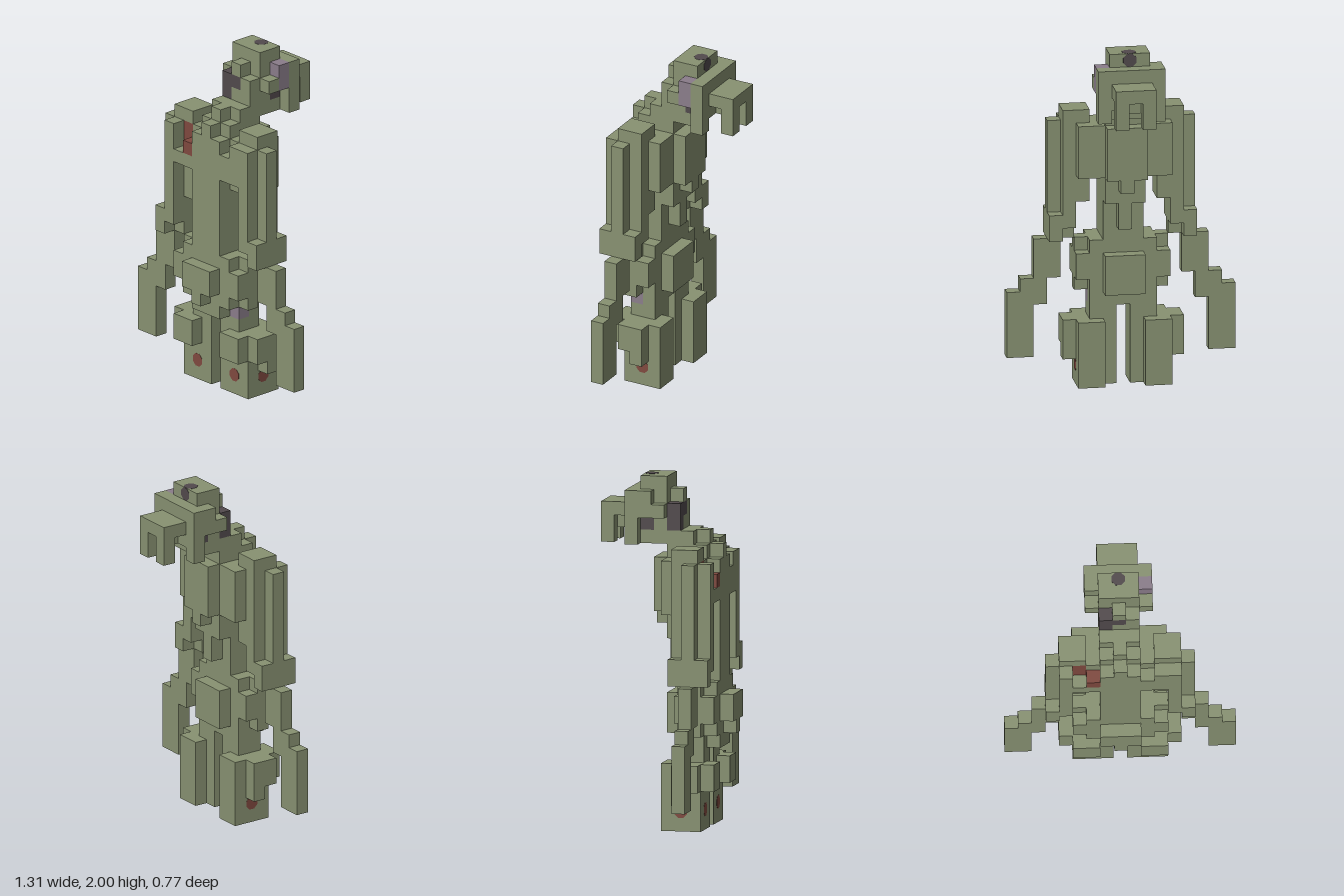
import * as THREE from 'three';

const U = 2 / 26; // edge of one block

export function createModel() {
  const model = new THREE.Group();
  model.name = 'blockyCreature';

  const paint = (name, color) => {
    const m = new THREE.MeshStandardMaterial({ color });
    m.name = name;
    return m;
  };
  const skin = paint('mossySkin', 0x889272);
  const mauve = paint('mauvePatch', 0x8b7d8b);
  const dark = paint('darkHollow', 0x524a4d);
  const red = paint('wound', 0x80493f);

  const group = (name) => {
    const g = new THREE.Group();
    g.name = name;
    model.add(g);
    return g;
  };

  // Box over inclusive block ranges; x blocks are centred on 0, y and z blocks start at 0
  const block = (parent, name, mat, x0, x1, y0, y1, z0, z1) => {
    const w = x1 - x0 + 1, h = y1 - y0 + 1, d = z1 - z0 + 1;
    const mesh = new THREE.Mesh(new THREE.BoxGeometry(w * U, h * U, d * U), mat);
    mesh.position.set((x0 + x1) / 2 * U, (y0 + h / 2) * U, (z0 + d / 2) * U);
    mesh.name = name;
    parent.add(mesh);
  };
  // Same box on one side: s = 1 is the model's left, -1 its right
  const sided = (parent, name, s, x0, x1, ...rest) =>
    block(parent, name, skin, s > 0 ? x0 : -x1, s > 0 ? x1 : -x0, ...rest);

  // Thin eight-sided spot lying on a face, at block coordinates
  const spot = (parent, name, mat, axis, x, y, z) => {
    const geo = new THREE.CylinderGeometry(U * 0.53, U * 0.53, 0.003, 8);
    geo.rotateY(Math.PI / 8);
    if (axis === 'z') geo.rotateX(Math.PI / 2);
    if (axis === 'x') geo.rotateZ(Math.PI / 2);
    const mesh = new THREE.Mesh(geo, mat);
    mesh.position.set(x * U, y * U, z * U);
    mesh.name = name;
    parent.add(mesh);
  };

  // Torso, hunched back and neck
  const torso = group('torso');
  block(torso, 'chest', skin, -1, 1, 10, 19, 1, 3);
  block(torso, 'upperChest', skin, -1, 1, 20, 20, 0, 2);
  block(torso, 'collar', skin, 0, 0, 20, 20, 3, 3);
  block(torso, 'back', skin, -1, 1, 14, 19, 0, 0);
  block(torso, 'lowerSpine', skin, 0, 0, 12, 13, 0, 0);
  block(torso, 'hunch', skin, -1, 1, 16, 19, -1, -1);
  block(torso, 'hunchTip', skin, 0, 0, 15, 15, -1, -1);
  block(torso, 'neck', skin, -1, 1, 21, 21, 0, 1);
  block(torso, 'nape', skin, 0, 0, 21, 21, 2, 2);

  // Hips with a box at front and back
  const hips = group('hips');
  block(hips, 'hipCore', skin, -2, 2, 7, 10, 1, 3);
  block(hips, 'bellyBox', skin, -1, 1, 8, 9, 4, 4);
  block(hips, 'bellyTip', skin, 0, 0, 7, 7, 4, 4);
  block(hips, 'rumpBox', skin, -1, 1, 7, 9, 0, 0);
  block(hips, 'pelvis', skin, -1, 1, 6, 6, 1, 3);
  block(hips, 'pelvisRight', skin, -2, -2, 6, 6, 1, 2);
  block(hips, 'pelvisLeft', skin, 2, 2, 6, 6, 1, 1);
  block(hips, 'pelvisPatch', mauve, 2, 2, 6, 6, 2, 2);

  for (const s of [1, -1]) {
    const side = s > 0 ? 'left' : 'right';

    sided(hips, 'hipSide', s, 3, 3, 8, 9, 1, 3);
    sided(hips, 'hipTop', s, 3, 3, 10, 10, 2, 2);
    sided(hips, 'hipBottom', s, 3, 3, 7, 7, 2, 2);

    // Shoulder and long arm, stepping outwards to the hand
    const arm = group(side + 'Arm');
    sided(arm, 'shoulderTop', s, 3, 4, 20, 20, 1, 2);
    sided(arm, 'shoulderBlade', s, 2, 3, 16, 19, 0, 1);
    sided(arm, 'bladeTip', s, 3, 3, 14, 15, 1, 1);
    sided(arm, 'armpit', s, 2, 2, 16, 19, 2, 2);
    sided(arm, 'upperArmInner', s, 3, 3, 14, 17, 2, 2);
    sided(arm, 'upperArm', s, 4, 4, 12, 19, 1, 3);
    sided(arm, 'upperArmOuter', s, 5, 5, 13, 19, 2, 2);
    sided(arm, 'elbow', s, 5, 5, 11, 12, 1, 3);
    sided(arm, 'elbowInner', s, 4, 4, 11, 11, 2, 2);
    sided(arm, 'forearm', s, 5, 6, 8, 10, 2, 2);
    sided(arm, 'wrist', s, 6, 7, 6, 7, 2, 2);
    sided(arm, 'hand', s, 7, 8, 2, 6, 2, 2);
    sided(arm, 'chestSide', s, 2, 2, 17, s > 0 ? 18 : 17, 3, 3);
    sided(arm, 'armFront', s, 3, 3, 17, s > 0 ? 19 : 17, 3, 3);
    if (s > 0) sided(arm, 'innerShoulder', s, 3, 3, 18, 19, 2, 2);

    // Leg with knee box, outer bulge and foot spots
    const leg = group(side + 'Leg');
    sided(leg, 'leg', s, 2, 3, 0, 4, 0, 2);
    sided(leg, 'innerLeg', s, 1, 1, 0, 4, 1, 2);
    sided(leg, 'thigh', s, 1, 2, 5, 5, 1, 2);
    sided(leg, 'knee', s, 2, 3, 3, 4, 3, 3);
    sided(leg, 'kneeSide', s, 4, 4, 3, 4, 2, 2);
    sided(leg, 'calf', s, 4, 4, 2, 4, 1, 1);
    spot(leg, 'frontFootSpot', red, 'z', 2 * s, 1.5, 3);
    spot(leg, 'sideFootSpot', red, 'x', 3.5 * s, 1.5, 1.5);
    spot(leg, 'soleSpot', red, 'y', 2 * s, 0, 1.5);
  }

  // Open wound on the right shoulder
  const wound = group('shoulderWound');
  block(wound, 'woundUpper', red, -3, -3, 18, 19, 2, 2);
  block(wound, 'woundLower', red, -2, -2, 18, 18, 3, 3);

  // Head
  const head = group('head');
  block(head, 'skull', skin, -1, 1, 23, 24, -3, -1);
  block(head, 'crown', skin, -1, 1, 25, 25, -2, -1);
  block(head, 'face', skin, -1, 1, 21, 22, -1, -1);
  block(head, 'throat', skin, -1, 1, 21, 21, -2, -2);
  block(head, 'brow', skin, 0, 0, 24, 24, 0, 0);
  block(head, 'nose', skin, 0, 0, 22, 22, 0, 0);
  block(head, 'cheek', skin, 1, 1, 22, 23, 0, 0);
  block(head, 'eyeHollow', dark, -1, -1, 22, 23, 0, 0);
  block(head, 'eyeHollowInner', dark, 0, 0, 23, 23, 0, 0);
  block(head, 'mouthHollow', dark, -1, 1, 22, 22, -2, -2);
  for (const s of [1, -1]) {
    sided(head, 'temple', s, 2, 2, 23, 23, -1, -1);
    sided(head, 'headSide', s, 2, 2, 21, 24, -3, -3);
    sided(head, 'jaw', s, 1, 1, 22, 22, -3, -3);
    sided(head, 'tusk', s, 1, 1, 21, 22, -5, -5);
  }
  block(head, 'rightEar', skin, -2, -2, 23, 24, -2, -2);
  block(head, 'leftEar', mauve, 2, 2, 23, 24, -2, -2);
  spot(head, 'crownSpot', dark, 'y', 0, 26, -1.5);
  spot(head, 'crownBackSpot', dark, 'z', 0, 25.5, -2);

  // Overhanging block at the rear of the head
  block(head, 'overhang', skin, -1, 1, 23, 23, -5, -4);
  block(head, 'overhangMiddle', skin, 0, 0, 22, 22, -4, -4);

  return model;
}
